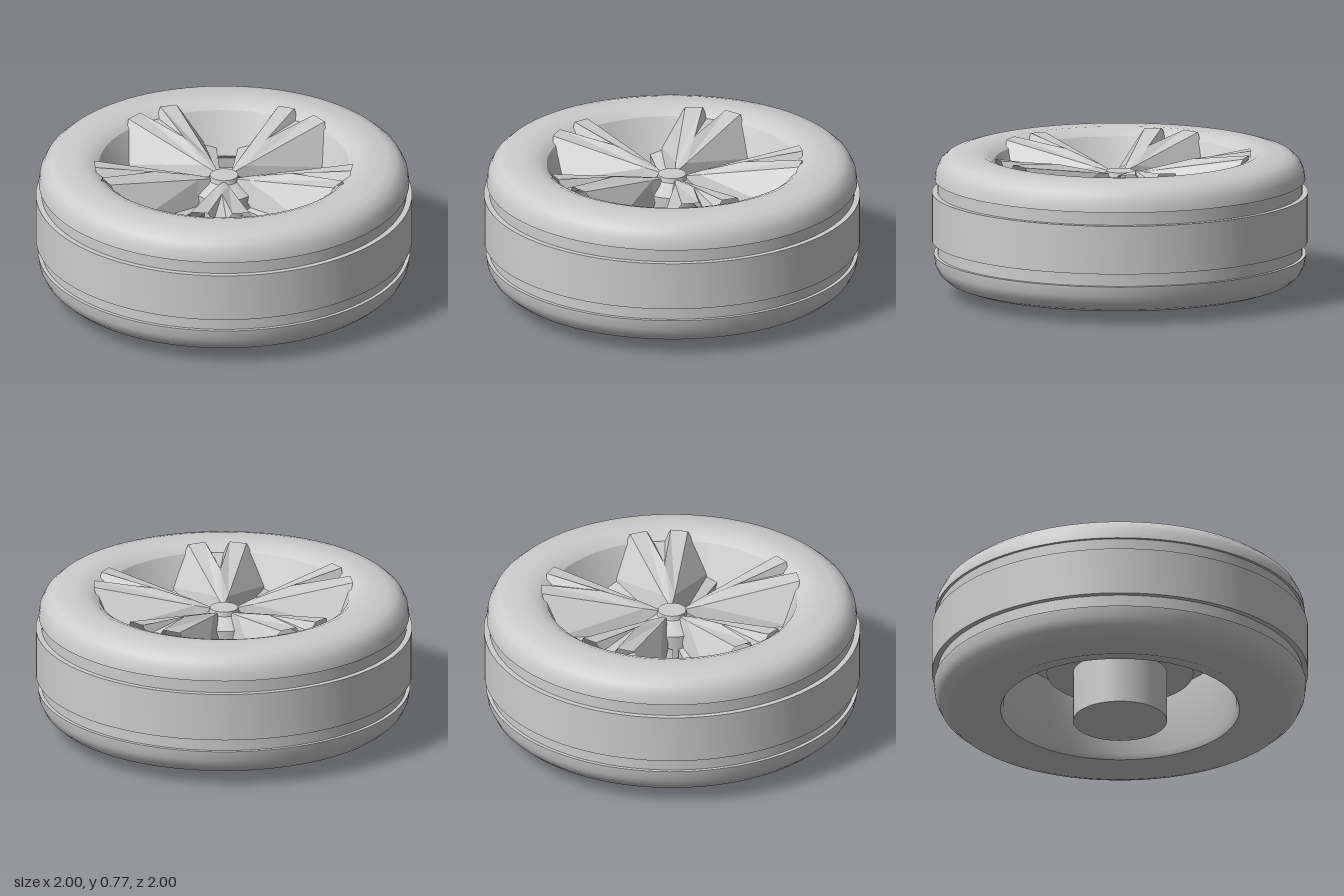
import * as THREE from 'three';
import { toCreasedNormals } from 'three/addons/utils/BufferGeometryUtils.js';

const grey = new THREE.MeshStandardMaterial({ color: 0xcccccc, side: THREE.DoubleSide });
grey.name = 'lightGrey';

function add(parent, name, geometry) {
  const mesh = new THREE.Mesh(geometry, grey);
  mesh.name = name;
  parent.add(mesh);
  return mesh;
}

// Turned part from a [radius, height] profile, with hard edges kept sharp
function turned(profile, segments = 96) {
  const points = profile.map(([r, y]) => new THREE.Vector2(r, y));
  return toCreasedNormals(new THREE.LatheGeometry(points, segments), 0.5);
}

// Spoke coordinates (distance out, offset toward the window) to a point
// in a frame whose z axis runs down the middle of the window
const HALF = Math.PI / 5;
function onSpoke(u, v, y) {
  const s = Math.sin(HALF), c = Math.cos(HALF);
  return [u * s - v * c, y, u * c + v * s];
}

// Half of one spoke: top face, notch, sloping window wall, ledge and back
function halfSpoke(side) {
  const inner = onSpoke(0.05, 0, 0.645);
  const edgeIn = onSpoke(0.15, 0.03, 0.665);
  const edgeOut = onSpoke(0.675, 0.155, 0.762);
  const notchTip = onSpoke(0.38, 0, 0.73);
  const notchOut = onSpoke(0.695, 0.065, 0.766);
  const floorOut = onSpoke(0.69, 0.035, 0.715);
  const floorMid = onSpoke(0.69, 0, 0.715);
  const wallIn = [0.04, 0.53, 0.19], wallOut = [0.13, 0.56, 0.62];
  const ledgeIn = [0.015, 0.52, 0.19], ledgeOut = [0.06, 0.54, 0.6];
  const backIn = [0.015, 0.46, 0.19], backOut = [0.06, 0.47, 0.58];
  const backMid = onSpoke(0.58, 0, 0.47), backHub = onSpoke(0.1, 0, 0.46);
  const faces = [
    [inner, edgeIn, notchTip],
    [edgeIn, edgeOut, notchOut, notchTip],
    [notchTip, notchOut, floorOut],
    [notchTip, floorOut, floorMid],
    [edgeIn, wallIn, wallOut, edgeOut],
    [inner, wallIn, edgeIn],
    [wallIn, ledgeIn, ledgeOut, wallOut],
    [ledgeIn, backIn, backOut, ledgeOut],
    [backIn, backHub, backMid, backOut],
  ];
  const positions = [];
  for (const face of faces) {
    for (let i = 1; i < face.length - 1; i++) {
      const tri = [face[0], face[i], face[i + 1]];
      if (side < 0) tri.reverse();
      for (const [x, y, z] of tri) positions.push(x * side, y, z);
    }
  }
  const geometry = new THREE.BufferGeometry();
  geometry.setAttribute('position', new THREE.Float32BufferAttribute(positions, 3));
  geometry.computeVertexNormals();
  return geometry;
}

export function createModel() {
  const wheel = new THREE.Group();
  wheel.name = 'wheel';

  // Tyre with two grooves around the tread
  add(wheel, 'tyre', turned([
    [0.69, 0.07], [0.72, 0.058], [0.8, 0.057], [0.87, 0.062], [0.92, 0.08], [0.96, 0.115],
    [0.982, 0.16], [0.99, 0.215], [0.97, 0.215], [0.97, 0.285], [1, 0.285],
    [1, 0.545], [0.97, 0.545], [0.97, 0.615], [0.985, 0.615],
    [0.978, 0.665], [0.955, 0.71], [0.92, 0.74], [0.87, 0.754], [0.8, 0.759],
    [0.74, 0.759], [0.705, 0.745],
  ]));

  // Rim barrel, open at the back, flaring out to the front lip
  add(wheel, 'rim', turned([
    [0.72, 0.75], [0.7, 0.745], [0.665, 0.72], [0.56, 0.5],
    [0.6, 0.47], [0.62, 0.1], [0.635, 0.068], [0.7, 0.068],
  ]));

  // Five windows, each flanked by two mirrored spoke halves
  const spokes = new THREE.Group();
  spokes.name = 'spokes';
  for (let i = 0; i < 5; i++) {
    for (const side of [1, -1]) {
      add(spokes, 'spokeHalf', halfSpoke(side)).rotation.y = i * HALF * 2;
    }
  }
  wheel.add(spokes);

  // Hub centre with a small round cap
  add(wheel, 'hub', turned([
    [0.17, 0.46], [0.17, 0.585], [0.1, 0.62], [0.08, 0.635], [0.075, 0.66], [0, 0.662],
  ], 40));

  // Brake disc and axle behind the spokes
  add(wheel, 'brakeDisc', turned([
    [0, 0.28], [0.39, 0.28], [0.39, 0.41], [0.525, 0.41], [0.525, 0.45], [0, 0.45],
  ], 64));
  add(wheel, 'axle', turned([[0, 0], [0.25, 0], [0.25, 0.4], [0, 0.4]], 48));

  return wheel;
}
